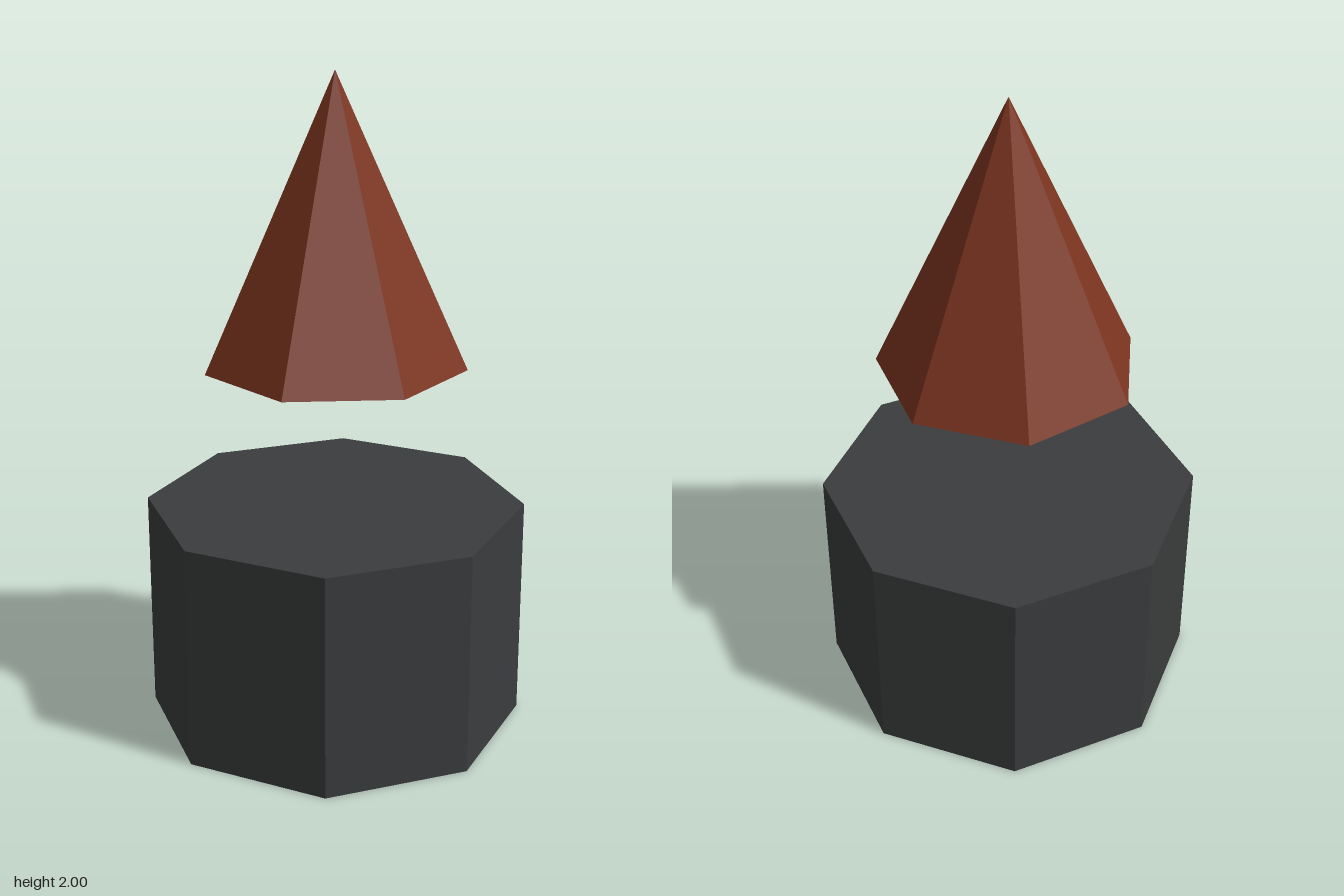
import * as THREE from 'three';

function addPart(group, name, geometry, color, y) {
  const material = new THREE.MeshStandardMaterial({ color, flatShading: true });
  const mesh = new THREE.Mesh(geometry, material);
  mesh.name = name;
  mesh.position.y = y;
  group.add(mesh);
  return mesh;
}

export function createModel() {
  const group = new THREE.Group();
  group.name = 'floatingConeOnBase';

  // Eight-sided base with a corner facing the front
  const baseHeight = 0.69;
  addPart(group, 'base', new THREE.CylinderGeometry(0.58, 0.58, baseHeight, 8), 0x3a3c3d, baseHeight / 2);

  // Seven-sided cone hovering above, one corner towards +x
  const coneBottom = 1.13, coneHeight = 2 - coneBottom;
  const cone = addPart(group, 'cone', new THREE.ConeGeometry(0.398, coneHeight, 7), 0x7d3520, coneBottom + coneHeight / 2);
  cone.rotation.y = Math.PI / 2;

  return group;
}
